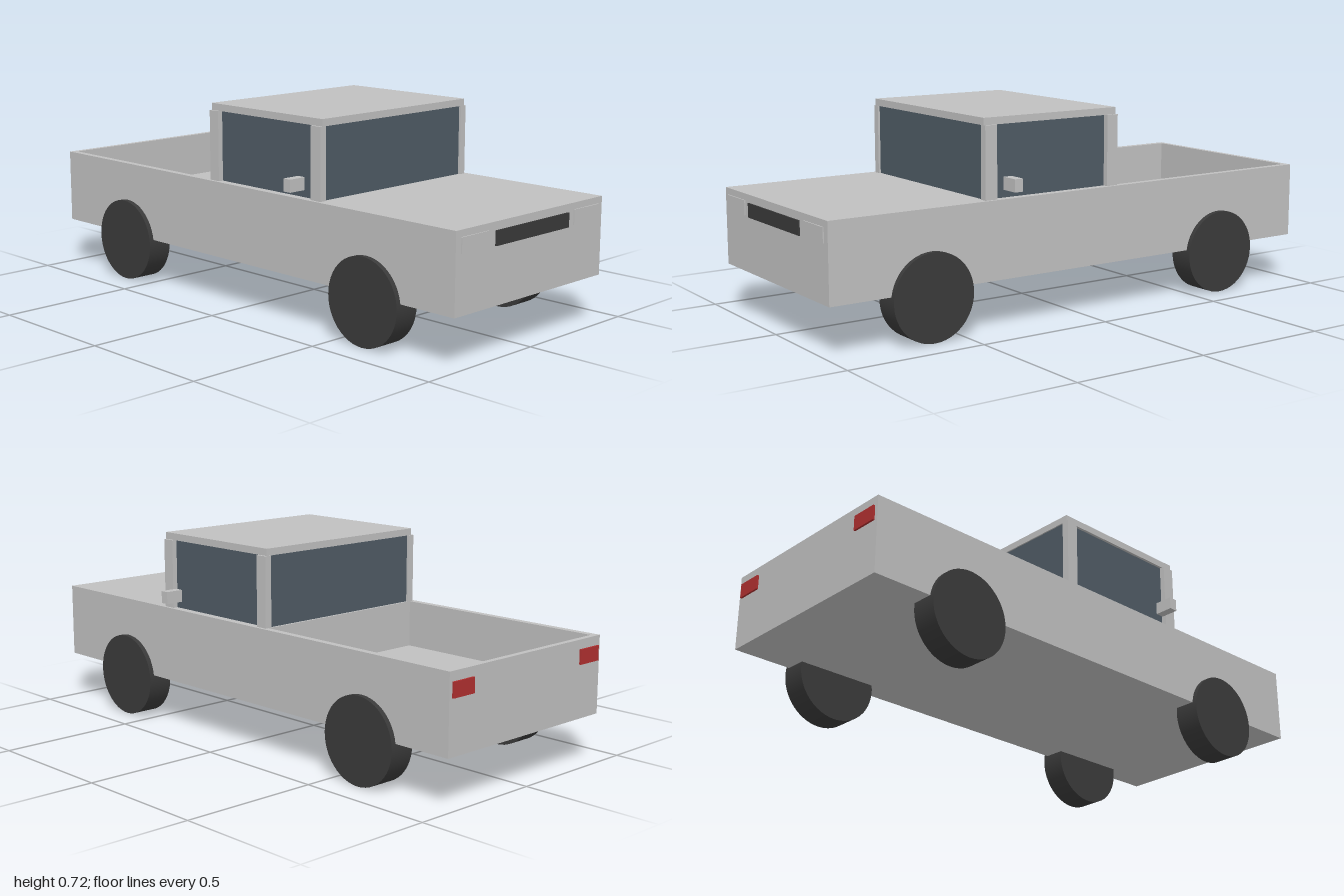
import * as THREE from 'three';

export function createModel() {
  const truck = new THREE.Group();
  truck.name = 'pickupTruck';

  const material = (name, color) => {
    const m = new THREE.MeshStandardMaterial({ color });
    m.name = name;
    return m;
  };
  const paint = material('silverPaint', 0xc0c0c0);
  const glass = material('tintedGlass', 0x4f5b65);
  const black = material('blackRubber', 0x3a3a3a);
  const red = material('redLamp', 0xb03030);

  // Box given by its extents on each axis
  const box = (name, mat, [x0, x1], [y0, y1], [z0, z1]) => {
    const mesh = new THREE.Mesh(new THREE.BoxGeometry(x1 - x0, y1 - y0, z1 - z0), mat);
    mesh.position.set((x0 + x1) / 2, (y0 + y1) / 2, (z0 + z1) / 2);
    mesh.name = name;
    truck.add(mesh);
    return mesh;
  };
  // The same box on the left (+x) and right (-x)
  const pair = (name, mat, [x0, x1], y, z) => {
    box(name + 'Left', mat, [x0, x1], y, z);
    box(name + 'Right', mat, [-x1, -x0], y, z);
  };

  // Lower body: solid front half, open bed behind
  const bottom = 0.172, deck = 0.445, floor = 0.275, tail = -0.993, bedFront = -0.15;
  box('frontBody', paint, [-0.38, 0.38], [bottom, deck], [bedFront, 0.995]);
  box('bedFloor', paint, [-0.355, 0.355], [bottom, floor], [tail + 0.02, bedFront]);
  pair('bedSide', paint, [0.355, 0.38], [bottom, deck], [tail, bedFront]);
  box('tailgate', paint, [-0.355, 0.355], [bottom, deck], [tail, tail + 0.02]);

  // Cab: glasshouse, corner pillars and roof
  box('cabGlass', glass, [-0.35, 0.35], [deck, 0.695], [-0.142, 0.397]);
  pair('frontPillar', paint, [0.343, 0.369], [deck, 0.695], [0.358, 0.405]);
  pair('rearPillar', paint, [0.343, 0.369], [deck, 0.695], [-0.15, -0.105]);
  box('roof', paint, [-0.36, 0.36], [0.695, 0.72], [-0.147, 0.405]);

  // Door mirrors
  pair('mirror', paint, [0.373, 0.44], [0.476, 0.52], [0.303, 0.335]);

  // Front and rear details
  box('grille', black, [-0.19, 0.19], [0.367, 0.417], [0.993, 1.0]);
  pair('headlight', paint, [0.22, 0.355], [0.37, 0.422], [0.993, 0.999]);
  pair('tailLight', red, [0.27, 0.367], [0.36, 0.412], [-1.0, -0.992]);

  // Wheels; the rear pair rises slightly through the bed floor
  const wheelGeometry = new THREE.CylinderGeometry(0.152, 0.152, 0.094, 48).rotateZ(Math.PI / 2);
  for (const [end, z] of [['front', 0.623], ['rear', -0.623]]) {
    for (const [side, s] of [['Left', 1], ['Right', -1]]) {
      const wheel = new THREE.Mesh(wheelGeometry, black);
      wheel.position.set(s * 0.351, 0.152, z);
      wheel.name = end + 'Wheel' + side;
      truck.add(wheel);
    }
  }
  return truck;
}
